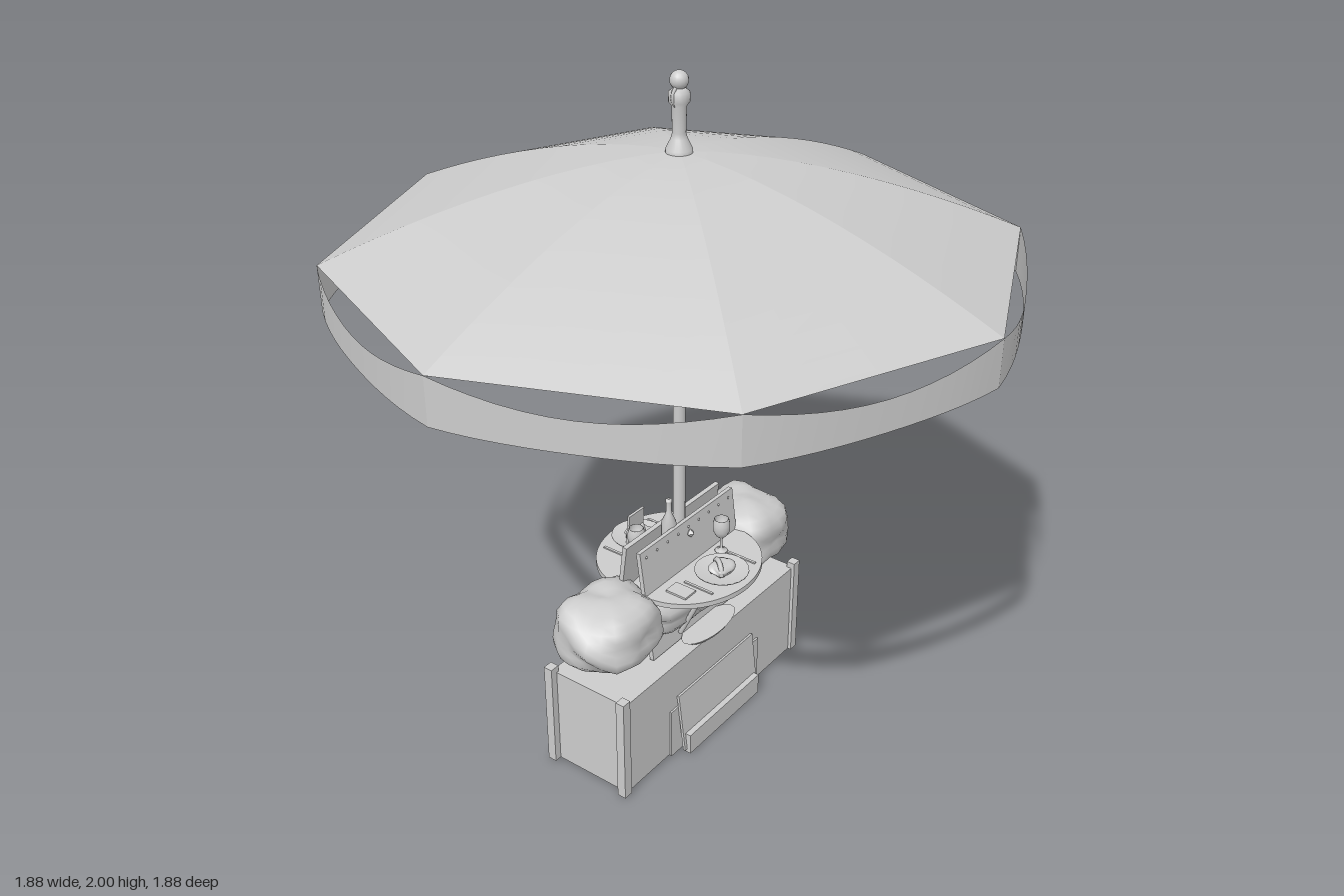
import * as THREE from 'three';
import { mergeVertices } from 'three/addons/utils/BufferGeometryUtils.js';

const grey = new THREE.MeshStandardMaterial({ color: 0xcccccc, side: THREE.DoubleSide });
grey.name = 'light grey';

function add(parent, name, geometry, x = 0, y = 0, z = 0) {
  const m = new THREE.Mesh(geometry, grey);
  m.name = name;
  m.position.set(x, y, z);
  parent.add(m);
  return m;
}
const box = (w, h, d) => new THREE.BoxGeometry(w, h, d);
const lathe = (pts, n = 20) => new THREE.LatheGeometry(pts.map(p => new THREE.Vector2(...p)), n);

// Round bar between two points
function bar(parent, name, a, b, r, sides = 6) {
  const d = b.clone().sub(a);
  const m = add(parent, name, new THREE.CylinderGeometry(r, r, d.length(), sides));
  m.position.copy(a).add(b).multiplyScalar(0.5);
  m.quaternion.setFromUnitVectors(new THREE.Vector3(0, 1, 0), d.normalize());
  return m;
}

// Smooth surface from a grid of points f(u, v)
function sheet(f, nu, nv) {
  const pos = [], idx = [];
  for (let j = 0; j <= nv; j++)
    for (let i = 0; i <= nu; i++) pos.push(...f(i / nu, j / nv).toArray());
  for (let j = 0; j < nv; j++)
    for (let i = 0; i < nu; i++) {
      const a = j * (nu + 1) + i, b = a + nu + 1;
      idx.push(a, a + 1, b, a + 1, b + 1, b);
    }
  const g = new THREE.BufferGeometry();
  g.setAttribute('position', new THREE.Float32BufferAttribute(pos, 3));
  g.setIndex(idx);
  g.computeVertexNormals();
  return g;
}

const R = 0.94, STEP = Math.PI / 4;
const polar = (a, r, y) => new THREE.Vector3(Math.sin(a) * r, y, Math.cos(a) * r);
const roofY = r => 1.79 - 0.26 * Math.pow(r / R, 1.6);

function buildUmbrella() {
  const g = new THREE.Group();
  g.name = 'umbrella';
  for (let k = 0; k < 8; k++) {
    const a = k * STEP, b = a + STEP;
    // Canopy panel stretched between two ribs
    add(g, 'canopyPanel', sheet((u, v) => {
      const r = 0.012 + (R - 0.012) * v;
      return polar(a, r, roofY(r)).lerp(polar(b, r, roofY(r)), u);
    }, 4, 12));
    // Hanging valance, bowed out and dipping between the ribs
    add(g, 'valance', sheet((u, v) => {
      const s = Math.sin(Math.PI * u);
      return polar(a + STEP * u, R - 0.035 * s, 1.4 + (1 - v) * (0.13 - 0.045 * s));
    }, 12, 1));
    // Rib below the cloth, and its strut from the runner
    const path = new THREE.CatmullRomCurve3(
      [0.02, 0.25, 0.5, 0.75, 0.93].map(r => polar(a, r, roofY(r) - 0.008)));
    add(g, 'rib', new THREE.TubeGeometry(path, 12, 0.005, 5));
    bar(g, 'strut', polar(a, 0.018, 1.34), polar(a, 0.5, roofY(0.5) - 0.01), 0.005);
  }
  add(g, 'pole', new THREE.CylinderGeometry(0.018, 0.018, 1.48, 16), 0, 1.05, 0);
  add(g, 'runner', lathe([[0.018, 1.28], [0.025, 1.285], [0.025, 1.36], [0.03, 1.365], [0.03, 1.375], [0.018, 1.375]]));
  add(g, 'hub', new THREE.CylinderGeometry(0.03, 0.03, 0.03, 16), 0, 1.76, 0);
  // Finial with ball and hanging ring
  add(g, 'finial', lathe([[0.036, 1.785], [0.036, 1.797], [0.022, 1.825], [0.018, 1.84], [0.02, 1.91],
    [0.028, 1.92], [0.028, 1.945], [0.016, 1.955], [0, 1.957]]));
  add(g, 'finialBall', new THREE.SphereGeometry(0.025, 16, 12), 0, 1.975, 0);
  add(g, 'finialRing', new THREE.TorusGeometry(0.028, 0.005, 6, 20), 0, 1.935, 0);
  return g;
}

function buildPlanter() {
  const g = new THREE.Group();
  g.name = 'planter';
  add(g, 'planterBox', box(0.86, 0.317, 0.27), 0, 0.166, 0);
  for (const x of [-0.437, 0.43])
    for (const z of [-0.132, 0.132])
      add(g, 'cornerPost', box(0.03, 0.337, 0.028), x, 0.176, z);
  return g;
}

// Lumpy foliage blob
function blob(rx, ry, rz, seed) {
  let geo = new THREE.SphereGeometry(1, 22, 16);
  geo.deleteAttribute('uv');
  geo.deleteAttribute('normal');
  geo = mergeVertices(geo, 1e-4);
  const p = geo.attributes.position;
  for (let i = 0; i < p.count; i++) {
    const x = p.getX(i), y = p.getY(i), z = p.getZ(i);
    const n = 1 + 0.05 * Math.sin(5 * x + seed) * Math.cos(4 * z + seed * 2)
      + 0.05 * Math.sin(6 * y + 5 * z + seed * 3) + 0.03 * Math.sin(9 * x - 7 * y + seed);
    // Squarer than a ball, as if clipped
    const q = Math.pow(x ** 4 + y ** 4 + z ** 4, -0.25) * 0.6 + 0.4;
    p.setXYZ(i, x * n * q * rx, Math.max(y * n * q, -1) * ry, z * n * q * rz);
  }
  geo.computeVertexNormals();
  return geo;
}

function buildHedge() {
  const g = new THREE.Group();
  g.name = 'hedge';
  add(g, 'hedgeMiddle', blob(0.25, 0.083, 0.125, 1), 0, 0.465, 0);
  add(g, 'hedgeEnd', blob(0.145, 0.1, 0.133, 2.3), 0.325, 0.482, 0);
  add(g, 'hedgeEnd', blob(0.145, 0.1, 0.133, 4.1), -0.33, 0.482, 0);
  return g;
}

// Everything on one long side; the other side is the same turned half round
function buildSide() {
  const g = new THREE.Group();
  g.name = 'servingSide';

  // Backboard leaning to the middle, with a row of studs
  const board = new THREE.Group();
  board.name = 'backboard';
  board.position.set(0, 0.505, 0.047);
  board.rotation.x = -0.13;
  add(board, 'boardPanel', box(0.45, 0.355, 0.014));
  for (let i = 0; i < 9; i++)
    add(board, 'stud', new THREE.SphereGeometry(0.004, 6, 4), -0.2 + i * 0.05, 0.155, 0.007);
  add(board, 'knob', new THREE.OctahedronGeometry(0.014), 0, 0.135, 0.012);
  g.add(board);

  // Half-round table and its brackets
  const shape = new THREE.Shape();
  shape.moveTo(-0.225, 0);
  shape.absellipse(0, 0, 0.225, 0.195, Math.PI, 0, true);
  shape.closePath();
  const top = add(g, 'tableTop', new THREE.ExtrudeGeometry(shape,
    { depth: 0.016, bevelEnabled: false, curveSegments: 28 }), 0, 0.528, 0.05);
  top.rotation.x = Math.PI / 2;
  top.position.y = 0.544;
  for (const x of [-0.1, 0.1])
    bar(g, 'tableBracket', new THREE.Vector3(x, 0.36, 0.08), new THREE.Vector3(x, 0.53, 0.16), 0.008);

  // Table setting
  add(g, 'plate', lathe([[0, 0.546], [0.045, 0.546], [0.08, 0.558], [0.08, 0.562], [0.045, 0.552], [0, 0.552]], 24), 0, 0, 0.155);
  add(g, 'food', blob(0.04, 0.016, 0.032, 3), 0, 0.567, 0.155);
  const napkin = add(g, 'napkinArch', new THREE.TorusGeometry(0.032, 0.008, 6, 16, Math.PI), -0.01, 0.56, 0.15);
  napkin.rotation.y = 0.9;
  add(g, 'glass', lathe([[0, 0.546], [0.02, 0.546], [0.018, 0.55], [0.004, 0.555], [0.004, 0.59], [0.017, 0.602],
    [0.026, 0.62], [0.026, 0.64], [0.022, 0.658], [0.02, 0.658], [0.023, 0.63], [0, 0.605]], 16), 0.095, 0, 0.085);
  add(g, 'fork', box(0.008, 0.004, 0.1), -0.1, 0.547, 0.145);
  add(g, 'knife', box(0.008, 0.004, 0.1), 0.1, 0.547, 0.155);
  add(g, 'napkin', box(0.05, 0.006, 0.07), -0.145, 0.548, 0.115);

  // Small shelf on the planter rim
  const shelf = add(g, 'rimShelf', new THREE.CylinderGeometry(0.12, 0.1, 0.014, 24), 0, 0.336, 0.11);
  shelf.scale.z = 0.4;

  // Leaning board with a low tray at ground level
  const sign = add(g, 'leaningBoard', box(0.38, 0.195, 0.008), 0, 0.108, 0.15);
  sign.rotation.x = -0.12;
  add(g, 'groundPanel', box(0.45, 0.165, 0.006), 0, 0.085, 0.138);
  add(g, 'tray', box(0.36, 0.068, 0.02), 0, 0.034, 0.167);
  return g;
}

export function createModel() {
  const model = new THREE.Group();
  model.name = 'umbrellaTable';
  const front = buildSide();
  const back = buildSide();
  back.rotation.y = Math.PI;
  model.add(buildUmbrella(), buildPlanter(), buildHedge(), front, back);

  // Bottle between the two boards
  add(model, 'bottle', lathe([[0, 0.56], [0.022, 0.56], [0.022, 0.69], [0.009, 0.72], [0.008, 0.755], [0.01, 0.757],
    [0.01, 0.765], [0, 0.765]], 14), -0.05, 0, 0);
  // Upright card on the rear table
  const card = add(model, 'menuCard', box(0.07, 0.11, 0.008), -0.02, 0.598, -0.15);
  card.rotation.x = 0.08;
  // Pebble beside the rear tray
  const pebble = add(model, 'pebble', new THREE.SphereGeometry(0.014, 10, 8), 0.03, 0.017, -0.19);
  pebble.scale.set(1.3, 0.8, 1);
  return model;
}
